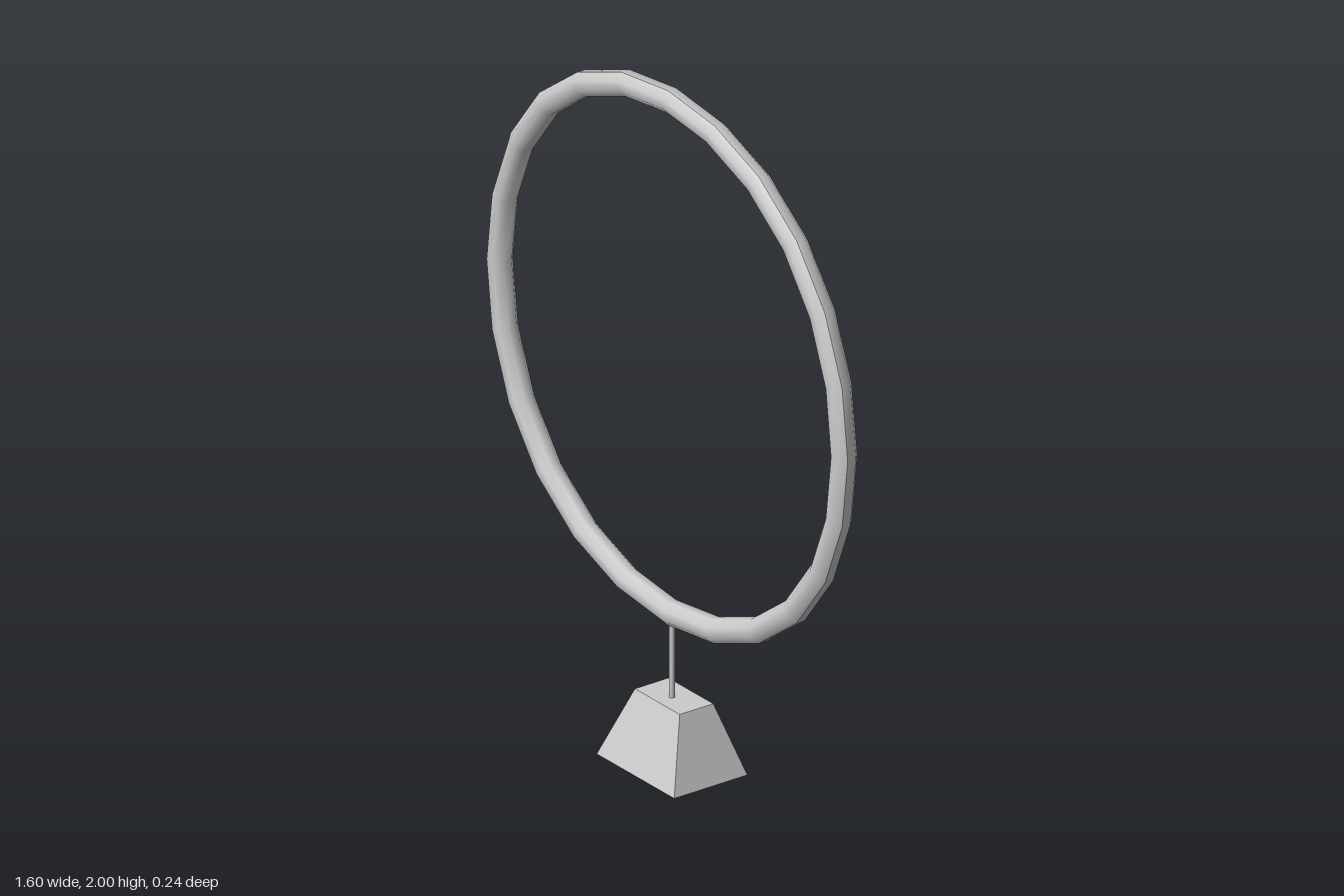
import * as THREE from 'three';

const material = new THREE.MeshStandardMaterial({ color: 0xcccccc });
const flatMaterial = new THREE.MeshStandardMaterial({ color: 0xcccccc, flatShading: true });

function addPart(group, name, geometry, mat) {
  const mesh = new THREE.Mesh(geometry, mat);
  mesh.name = name;
  group.add(mesh);
  return mesh;
}

// Eight-sided tube swept round 24 segments, slightly squarer than a true circle
function hoopGeometry() {
  const profile = [];
  for (let i = 0; i <= 8; i++) {
    const a = ((i + 0.5) / 8) * Math.PI * 2;
    profile.push(new THREE.Vector2(0.768 + 0.037 * Math.cos(a), 0.036 * Math.sin(a)));
  }
  const geometry = new THREE.LatheGeometry(profile, 24);
  geometry.rotateX(Math.PI / 2);
  const pos = geometry.attributes.position;
  for (let i = 0; i < pos.count; i++) {
    const x = pos.getX(i), y = pos.getY(i);
    const swell = 1 + 0.012 * Math.sin(2 * Math.atan2(y, x)) ** 2;
    pos.setXY(i, x * swell, y * swell * 0.986);
  }
  return geometry;
}

// Tapered block whose top sits a little towards the back
function baseGeometry() {
  const geometry = new THREE.BoxGeometry(0.346, 0.2, 0.244);
  geometry.translate(0, 0.1, 0);
  const pos = geometry.attributes.position;
  for (let i = 0; i < pos.count; i++) {
    if (pos.getY(i) < 0.1) continue;
    pos.setX(i, Math.sign(pos.getX(i)) * 0.1);
    pos.setZ(i, pos.getZ(i) > 0 ? 0.049 : -0.063);
  }
  return geometry;
}

export function createModel() {
  const group = new THREE.Group();
  group.name = 'hoopOnStand';

  addPart(group, 'hoop', hoopGeometry(), material).position.y = 1.207;
  addPart(group, 'pole', new THREE.CylinderGeometry(0.0085, 0.0085, 0.24, 8), material).position.y = 0.31;
  addPart(group, 'base', baseGeometry(), flatMaterial);

  return group;
}
